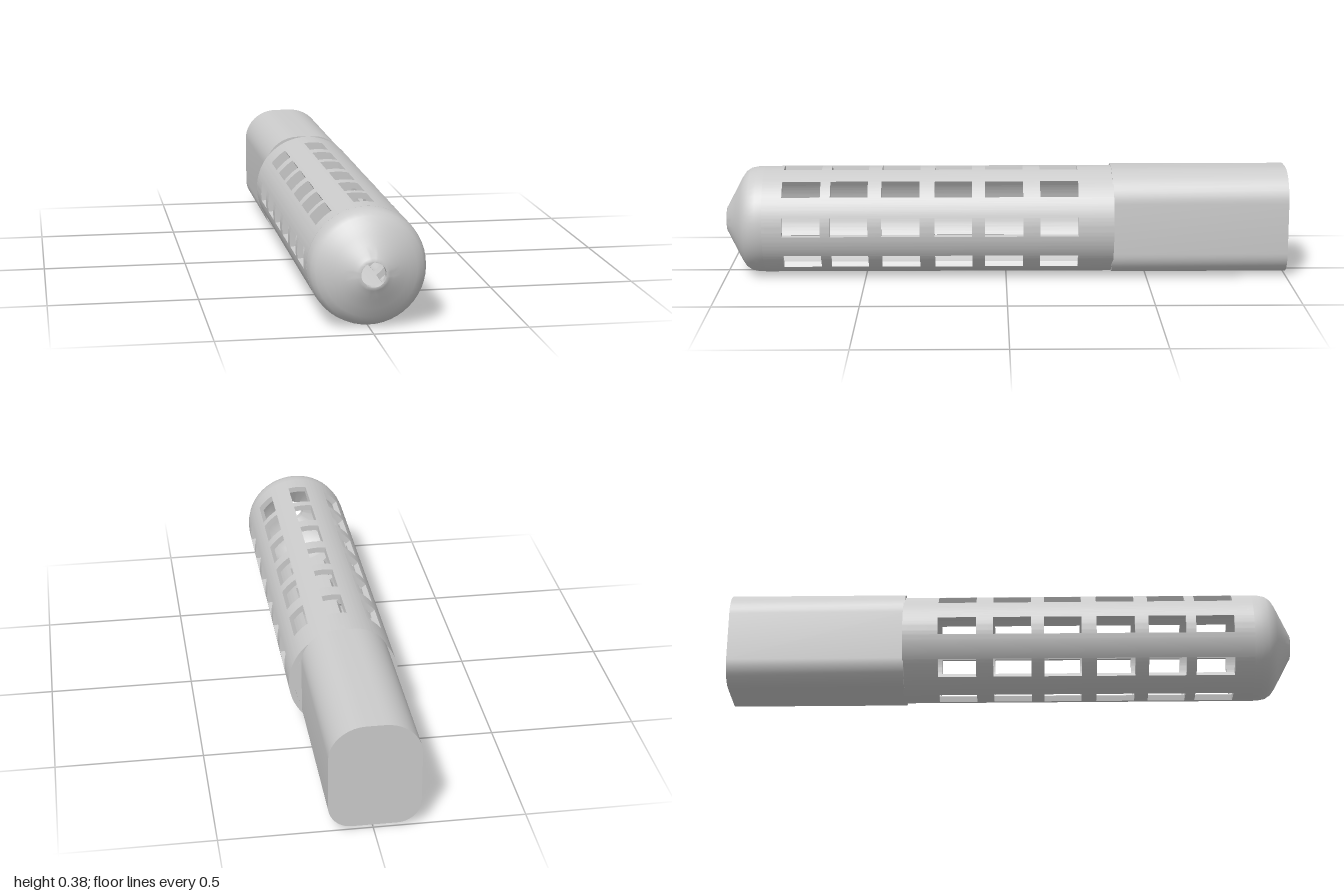
import * as THREE from 'three';
import { toCreasedNormals } from 'three/addons/utils/BufferGeometryUtils.js';

const AXIS_Y = 0.19, R = 0.19, R_IN = 0.17;
const BACK = -0.38, SHOULDER = 0.86;
const HALF_SLOT = 0.178; // half angle of one slot
const SLOTS = [[-0.255, -0.12], [-0.06, 0.075], [0.12, 0.252], [0.305, 0.44], [0.488, 0.62], [0.655, 0.79]];

const material = new THREE.MeshStandardMaterial({ color: 0xcccccc });

function addMesh(parent, name, geometry, crease = 0.6) {
  const mesh = new THREE.Mesh(toCreasedNormals(geometry, crease), material);
  mesh.name = name;
  parent.add(mesh);
  return mesh;
}

function extrude(shape, z0, z1, curveSegments) {
  return new THREE.ExtrudeGeometry(shape, { depth: z1 - z0, bevelEnabled: false, curveSegments }).translate(0, 0, z0);
}

// curved strip of the tube wall between two angles
function wallStrip(a0, a1, z0, z1) {
  const shape = new THREE.Shape();
  shape.absarc(0, 0, R, a0, a1, false);
  shape.absarc(0, 0, R_IN, a1, a0, true);
  return extrude(shape, z0, z1, 6);
}

export function createModel() {
  const model = new THREE.Group();
  model.name = 'slottedTubeWithGrip';

  const tube = new THREE.Group();
  tube.name = 'slottedTube';
  tube.position.y = AXIS_Y;
  model.add(tube);

  // slot columns sit slightly off the tube axis
  const columns = [];
  for (let i = 0; i <= 8; i++) {
    const a = i * Math.PI / 4;
    columns.push(a + (0.009 * Math.cos(a) - 0.006 * Math.sin(a)) / R);
  }

  // solid stretches between the slots of a column
  const bridges = [];
  let from = BACK;
  for (const [z0, z1] of SLOTS) {
    bridges.push([from, z0]);
    from = z1;
  }
  bridges.push([from, SHOULDER]);

  for (let i = 0; i < 8; i++) {
    const a0 = columns[i] - HALF_SLOT, a1 = columns[i] + HALF_SLOT;
    addMesh(tube, 'tubeRib', wallStrip(a1, columns[i + 1] - HALF_SLOT, BACK, SHOULDER));
    for (const [z0, z1] of bridges) addMesh(tube, 'slotBridge', wallStrip(a0, a1, z0, z1));
  }

  // hollow nose with an open tip
  const profile = [
    [R, SHOULDER], [0.189, 0.885], [0.184, 0.91], [0.172, 0.928], [0.15, 0.943], [0.12, 0.959],
    [0.09, 0.975], [0.066, 0.988], [0.052, 0.995], [0.044, 1], [0.04, 1],
    [0.04, 0.975], [0.1, 0.945], [0.145, 0.92], [0.165, 0.89], [R_IN, SHOULDER],
  ].map(([r, z]) => new THREE.Vector2(r, z));
  addMesh(tube, 'nose', new THREE.LatheGeometry(profile, 48).rotateX(Math.PI / 2));

  // plate closing the back of the tube
  const plate = new THREE.CylinderGeometry(R_IN, R_IN, 0.02, 48).rotateX(Math.PI / 2);
  addMesh(tube, 'backPlate', plate.translate(0, 0, BACK + 0.01));

  // grip: flat sides, rounded bottom corners, arched top
  const w = 0.151, low = 0.011, top = 0.381;
  const section = new THREE.Shape();
  section.moveTo(-0.075, low);
  section.lineTo(0.075, low);
  section.bezierCurveTo(0.115, low, w, 0.045, w, 0.09);
  section.lineTo(w, 0.27);
  section.bezierCurveTo(w, 0.325, 0.1, top, 0.03, top);
  section.lineTo(-0.03, top);
  section.bezierCurveTo(-0.1, top, -w, 0.325, -w, 0.27);
  section.lineTo(-w, 0.09);
  section.bezierCurveTo(-w, 0.045, -0.115, low, -0.075, low);
  const grip = addMesh(model, 'grip', extrude(section, -1, BACK + 0.004, 10));
  grip.position.x = -0.005;

  return model;
}
